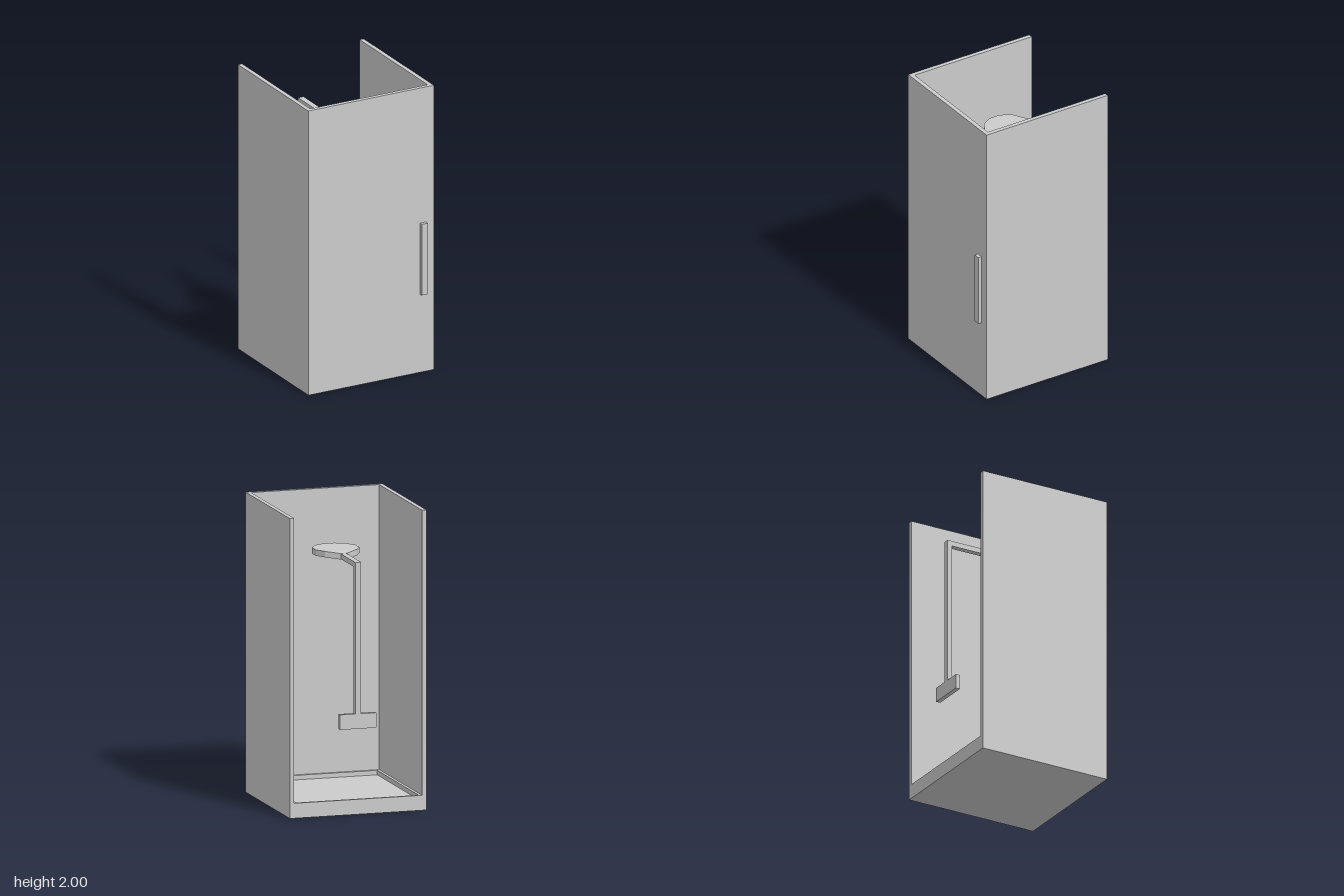
import * as THREE from 'three';

const material = new THREE.MeshStandardMaterial({ color: 0xcccccc, flatShading: true });

export function createModel() {
  const group = new THREE.Group();

  function add(name, geometry) {
    const mesh = new THREE.Mesh(geometry, material);
    mesh.name = name;
    group.add(mesh);
    return mesh;
  }

  // Box given by its lower and upper limits on each axis
  function box(name, [x0, x1], [y0, y1], [z0, z1]) {
    add(name, new THREE.BoxGeometry(x1 - x0, y1 - y0, z1 - z0))
      .position.set((x0 + x1) / 2, (y0 + y1) / 2, (z0 + z1) / 2);
  }

  // Upright prism from a plan outline of [x, z] points
  const flip = ([x, z]) => new THREE.Vector2(x, -z);
  function prism(outline, y0, y1, hole) {
    const shape = new THREE.Shape(outline.map(flip));
    if (hole) shape.holes.push(new THREE.Path(hole.map(flip)));
    return new THREE.ExtrudeGeometry(shape, { depth: y1 - y0, bevelEnabled: false })
      .rotateX(-Math.PI / 2).translate(0, y0, 0);
  }
  const rect = (x, z0, z1) => [[-x, z0], [-x, z1], [x, z1], [x, z0]];

  const back = -0.485, front = 0.46, half = 0.47;

  // Shower tray: base slab with a raised rim
  box('trayFloor', [-half, half], [0, 0.07], [back, front]);
  add('trayRim', prism(rect(half, back, front), 0.07, 0.1, rect(0.42, -0.465, 0.41)));

  // Side panels and front door, open at the back
  add('enclosureWalls', prism([
    [-half, back], [-half, front], [half, front], [half, back],
    [0.44, back], [0.44, 0.43], [-0.44, 0.43], [-0.44, back],
  ], 0.1, 2));
  box('doorHandle', [0.365, 0.41], [0.55, 1.05], [front, 0.485]);

  // Mixer bar, riser pipe and overhead arm
  box('mixerBar', [-0.125, 0.125], [0.57, 0.67], [back, -0.455]);
  box('riserPipe', [-0.02, 0.02], [0.67, 1.68], [back, back + 0.035]);
  box('showerArm', [-0.02, 0.02], [1.645, 1.68], [back, -0.18]);

  // Shower head: twelve-sided disc with its rear segment drawn out to the arm
  const disc = [];
  for (let i = 0; i < 10; i++) {
    const a = (i - 4.5) * Math.PI / 6;
    disc.push([0.155 * Math.sin(a), -0.005 + 0.155 * Math.cos(a)]);
  }
  add('showerHead', prism(disc, 1.65, 1.69));

  const [nx, nz] = disc[9];
  const neck = prism([[-nx, nz], [nx, nz], [0.02, -0.18], [-0.02, -0.18]], 1.65, 1.69);
  const p = neck.attributes.position;
  for (let i = 0; i < p.count; i++) {
    if (p.getZ(i) < -0.17) p.setY(i, p.getY(i) - 0.008);
  }
  neck.computeVertexNormals();
  add('showerHeadNeck', neck);

  return group;
}
